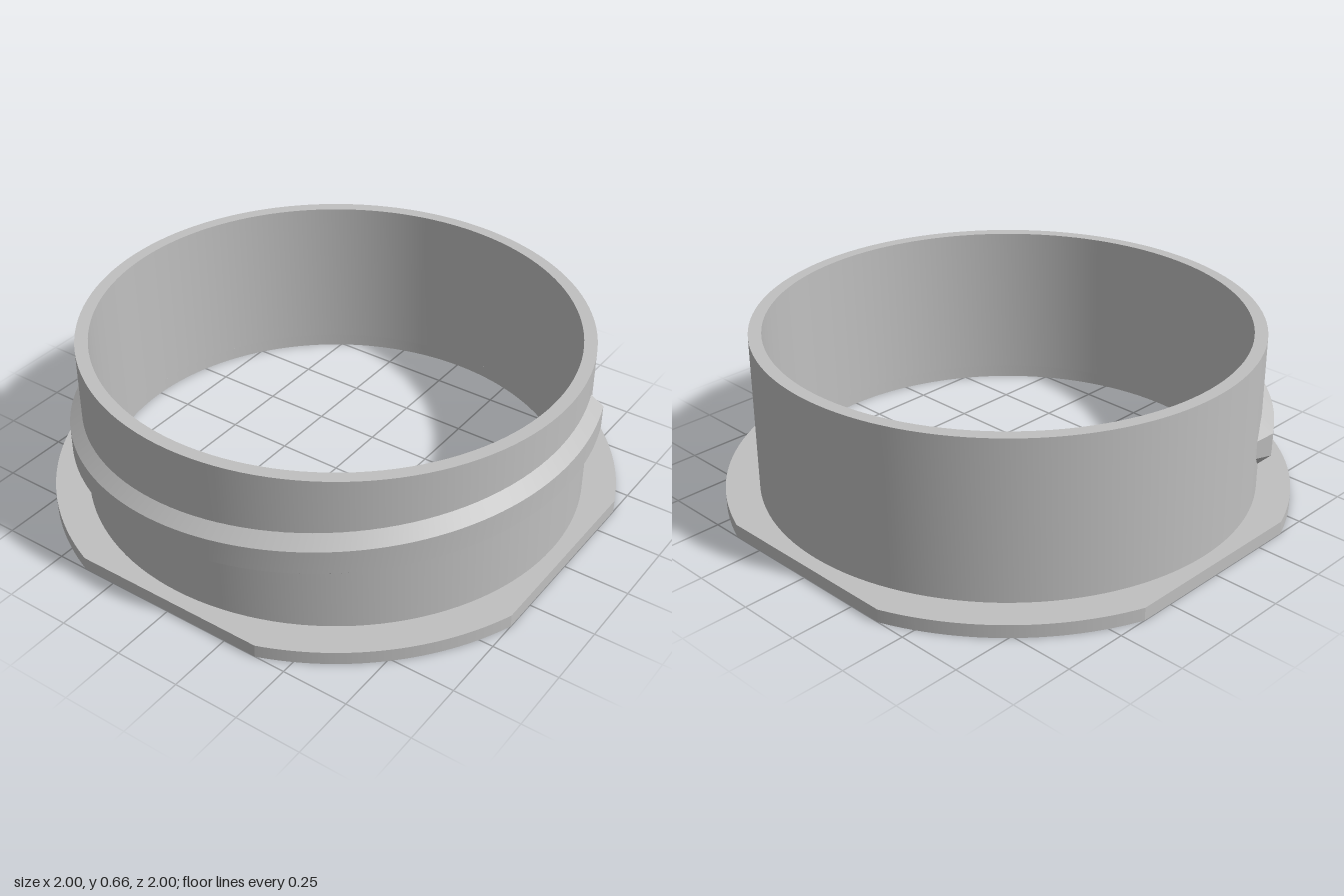
import * as THREE from 'three';
import { toCreasedNormals } from 'three/addons/utils/BufferGeometryUtils.js';

const INNER = 0.895, WALL = 0.943, CREST = 0.99, FLANGE_H = 0.05, HEIGHT = 0.66;

// Round plate with four flats and a round bore
function flangeGeometry() {
  const radius = 1.07, corner = Math.acos(1 / radius);
  const shape = new THREE.Shape();
  for (let i = 0; i < 4; i++) {
    const q = i * Math.PI / 2;
    const a0 = q + corner, a1 = q + Math.PI / 2 - corner;
    if (i === 0) shape.moveTo(radius * Math.cos(a0), radius * Math.sin(a0));
    shape.absarc(0, 0, radius, a0, a1, false);
  }
  shape.closePath();
  shape.holes.push(new THREE.Path().absarc(0, 0, INNER, 0, Math.PI * 2, true));
  const geo = new THREE.ExtrudeGeometry(shape, { depth: FLANGE_H, bevelEnabled: false, curveSegments: 96 });
  geo.rotateX(-Math.PI / 2);
  return toCreasedNormals(geo, 0.25);
}

// Thin cylindrical neck
function neckGeometry() {
  const profile = [[WALL, FLANGE_H], [WALL, HEIGHT], [INNER, HEIGHT], [INNER, FLANGE_H]];
  const geo = new THREE.LatheGeometry(profile.map(([r, y]) => new THREE.Vector2(r, y)), 128);
  return toCreasedNormals(geo, 0.5);
}

// Trapezoidal thread rising around the neck, with both ends tapered into the wall
function threadGeometry() {
  const start = -60.4, end = 108.75, taper = 3.3, steps = 72;
  const base = WALL - 0.002;
  const rib = [[base, -0.088], [CREST, -0.045], [CREST, 0.045], [base, 0.088]];
  const tip = [[base, -0.035], [base, -0.035], [base, 0.035], [base, 0.035]];
  const positions = [], index = [];
  const addSection = (deg, section) => {
    const a = THREE.MathUtils.degToRad(deg);
    const y = 0.27 + 0.175 * (deg - start) / (end - start);
    for (const [r, dy] of section) positions.push(r * Math.sin(a), y + dy, r * Math.cos(a));
  };
  addSection(start - taper, tip);
  for (let i = 0; i <= steps; i++) addSection(start + (end - start) * i / steps, rib);
  addSection(end + taper, tip);
  for (let i = 0; i < steps + 2; i++) {
    for (let k = 0; k < 3; k++) {
      const a = i * 4 + k, b = a + 4;
      index.push(a, b, b + 1, a, b + 1, a + 1);
    }
  }
  const geo = new THREE.BufferGeometry();
  geo.setAttribute('position', new THREE.Float32BufferAttribute(positions, 3));
  geo.setIndex(index);
  return toCreasedNormals(geo, 0.35);
}

export function createModel() {
  const group = new THREE.Group();
  group.name = 'threadedCollar';
  const grey = new THREE.MeshStandardMaterial({ color: 0xc0c0c0 });
  grey.name = 'lightGrey';
  const parts = { flange: flangeGeometry(), neck: neckGeometry(), thread: threadGeometry() };
  for (const [name, geo] of Object.entries(parts)) {
    const mesh = new THREE.Mesh(geo, grey);
    mesh.name = name;
    group.add(mesh);
  }
  return group;
}
